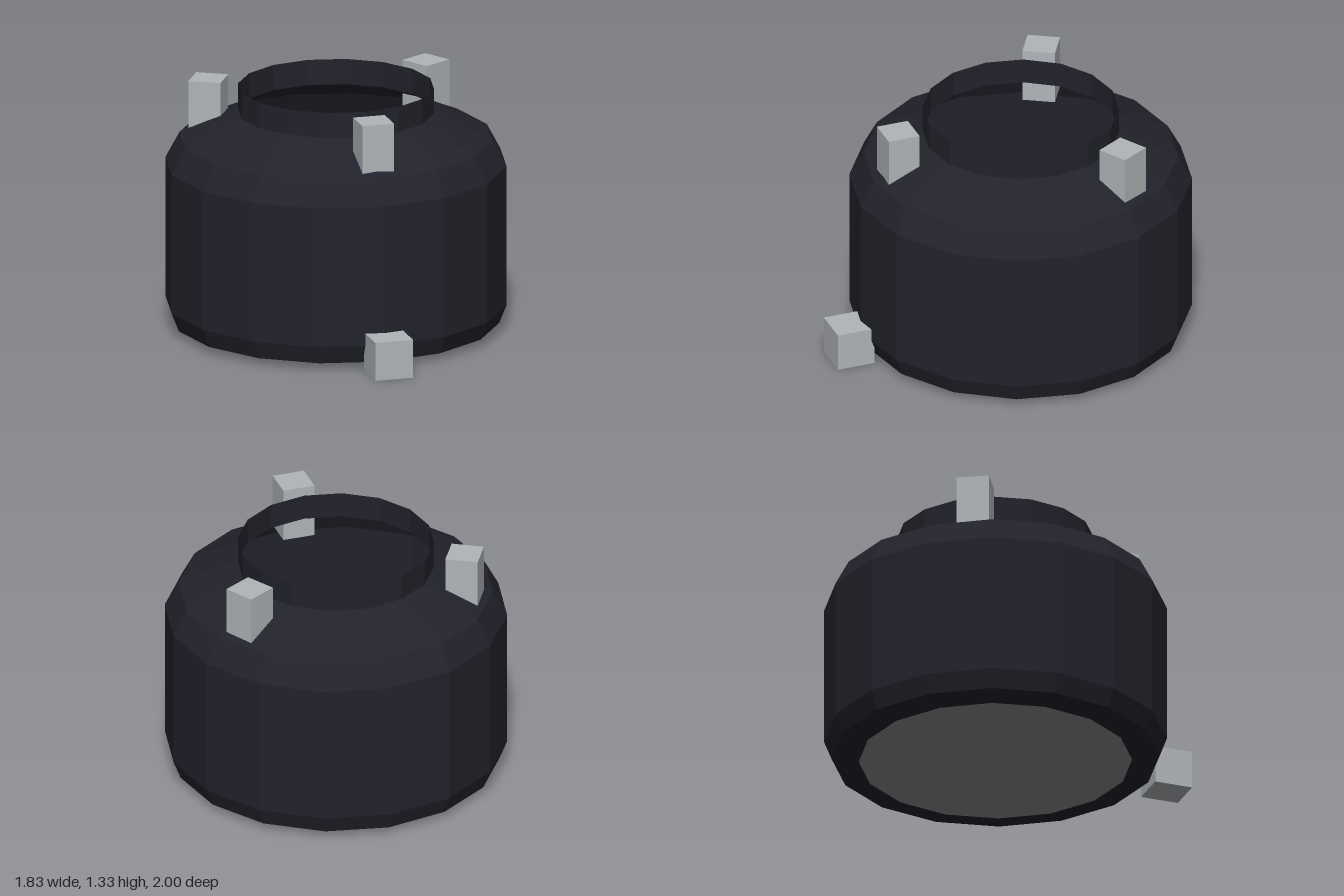
import * as THREE from 'three';

export function createModel() {
  const group = new THREE.Group();
  const CZ = -0.085; // centre of the round body
  const SIDES = 16;

  const darkShell = new THREE.MeshStandardMaterial({ color: 0x22222c, flatShading: true, side: THREE.DoubleSide });
  darkShell.name = 'dark shell';
  const lightGrey = new THREE.MeshStandardMaterial({ color: 0xb1b5b9, flatShading: true });
  lightGrey.name = 'light grey';
  const midGrey = new THREE.MeshStandardMaterial({ color: 0x8b8b8e, flatShading: true, side: THREE.DoubleSide });
  midGrey.name = 'mid grey';

  const add = (name, geometry, material, x, y, z, turn = 0) => {
    const mesh = new THREE.Mesh(geometry, material);
    mesh.name = name;
    mesh.position.set(x, y, z);
    mesh.rotation.y = turn;
    group.add(mesh);
    return mesh;
  };

  // Open vessel: chamfered foot, straight wall, sloped shoulder, thin neck
  const profile = [
    [0.73, 0.02], [0.875, 0.04], [0.915, 0.14], [0.915, 0.91],
    [0.84, 1.05], [0.525, 1.19], [0.525, 1.33],
  ].map(([r, y]) => new THREE.Vector2(r, y));
  add('body', new THREE.LatheGeometry(profile, SIDES), darkShell, 0, 0, CZ);

  // Floor plate closing the bottom
  const floor = new THREE.CircleGeometry(0.73, SIDES).rotateX(Math.PI / 2);
  add('floor', floor, midGrey, 0, 0.02, CZ);

  // Three posts set through the shoulder, evenly spaced around the neck
  const postGeometry = new THREE.BoxGeometry(0.176, 0.3, 0.176);
  for (let i = 0; i < 3; i++) {
    const a = (i * Math.PI * 2) / 3;
    add('post' + (i + 1), postGeometry, lightGrey, Math.sin(a) * 0.7, 1.18, CZ + Math.cos(a) * 0.7, a);
  }

  // Block at the foot of the front
  add('frontBlock', new THREE.BoxGeometry(0.21, 0.21, 0.21), lightGrey, 0, 0.105, 0.895);

  return group;
}
